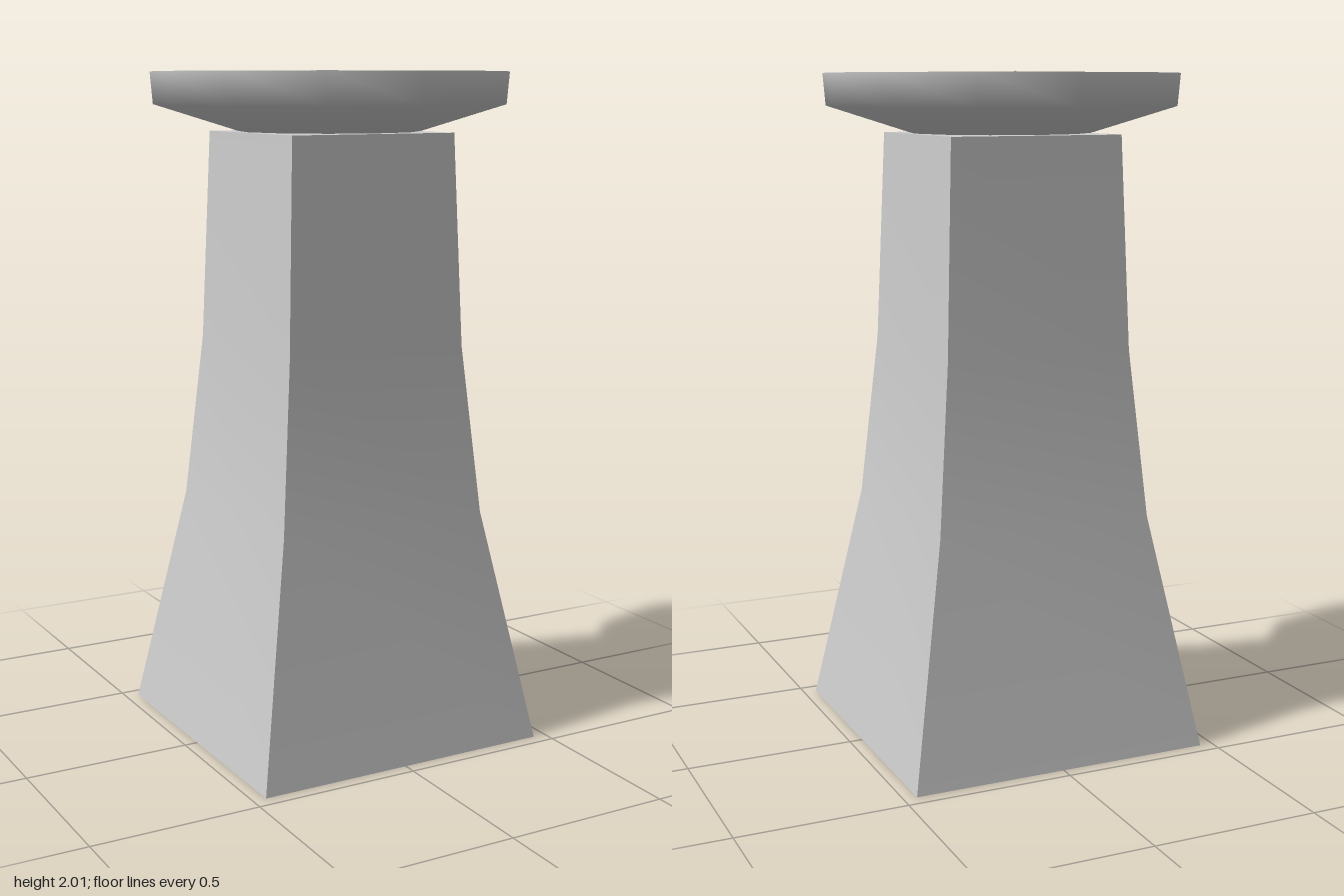
import * as THREE from 'three';
import { toCreasedNormals } from 'three/addons/utils/BufferGeometryUtils.js';

const material = new THREE.MeshStandardMaterial({ color: 0xcccccc, side: THREE.DoubleSide });

function addPart(group, name, geometry) {
  const mesh = new THREE.Mesh(geometry, material);
  mesh.name = name;
  group.add(mesh);
  return mesh;
}

const lathe = (points, sides, phase = 0) =>
  new THREE.LatheGeometry(points.map(([r, y]) => new THREE.Vector2(r, y)), sides, phase);

export function createModel() {
  const model = new THREE.Group();
  model.name = 'brazier';

  // Square flared pedestal, open underneath: [half width, height]
  const profile = [[0.46, 0], [0.333, 0.7], [0.288, 1.2], [0.266, 1.825]];
  const corners = profile.map(([half, y]) => [half * Math.SQRT2, y]);
  corners.push([0, 1.825]);
  addPart(model, 'pedestal', toCreasedNormals(lathe(corners, 4, Math.PI / 4), 0.6));

  // Twelve-sided bowl: smooth outside, flat rim, smooth hollow
  const bowl = new THREE.Group();
  bowl.name = 'bowl';
  model.add(bowl);
  addPart(bowl, 'bowlOutside', lathe([[0, 1.823], [0.27, 1.827], [0.522, 1.905], [0.53, 2]], 12));
  addPart(bowl, 'bowlRim', lathe([[0.53, 2], [0.483, 2]], 12));
  addPart(bowl, 'bowlInside', lathe([[0.483, 2], [0.472, 1.945], [0.25, 1.878], [0, 1.87]], 12));

  // Tapered coals lying in the bowl:
  // [x, y, z, turn, tilt, length, radius at start, radius at end]
  const coals = [
    [-0.095, 1.935, -0.145, 0.4, 0.1, 0.145, 0.058, 0.052],
    [0.095, 1.935, -0.155, -0.36, -0.08, 0.15, 0.062, 0.054],
    [0.215, 1.93, -0.035, -2.29, 0.1, 0.16, 0.063, 0.047],
    [-0.15, 1.925, -0.058, -0.1, 0.06, 0.145, 0.045, 0.052],
    [0, 1.94, -0.02, -1.57, -0.12, 0.155, 0.058, 0.042],
    [0.11, 1.935, 0.005, -1.57, 0.1, 0.14, 0.04, 0.055],
    [-0.11, 1.94, 0.025, -0.36, -0.1, 0.15, 0.05, 0.042],
    [-0.147, 1.925, 0.135, -1.57, 0.08, 0.155, 0.054, 0.034],
    [0.017, 1.935, 0.107, 0.05, 0.1, 0.165, 0.05, 0.056],
    [0.16, 1.93, 0.155, 0.72, -0.08, 0.165, 0.048, 0.06],
    [0, 1.925, 0.24, -0.5, 0.05, 0.17, 0.052, 0.06],
  ];
  const pile = new THREE.Group();
  pile.name = 'coals';
  model.add(pile);
  coals.forEach(([x, y, z, turn, tilt, length, start, end], i) => {
    const geometry = new THREE.CylinderGeometry(end, start, length, 6);
    geometry.rotateY(i * 0.7).rotateZ(tilt - Math.PI / 2).rotateY(turn);
    addPart(pile, `coal${i + 1}`, geometry).position.set(x, y, z);
  });

  return model;
}
